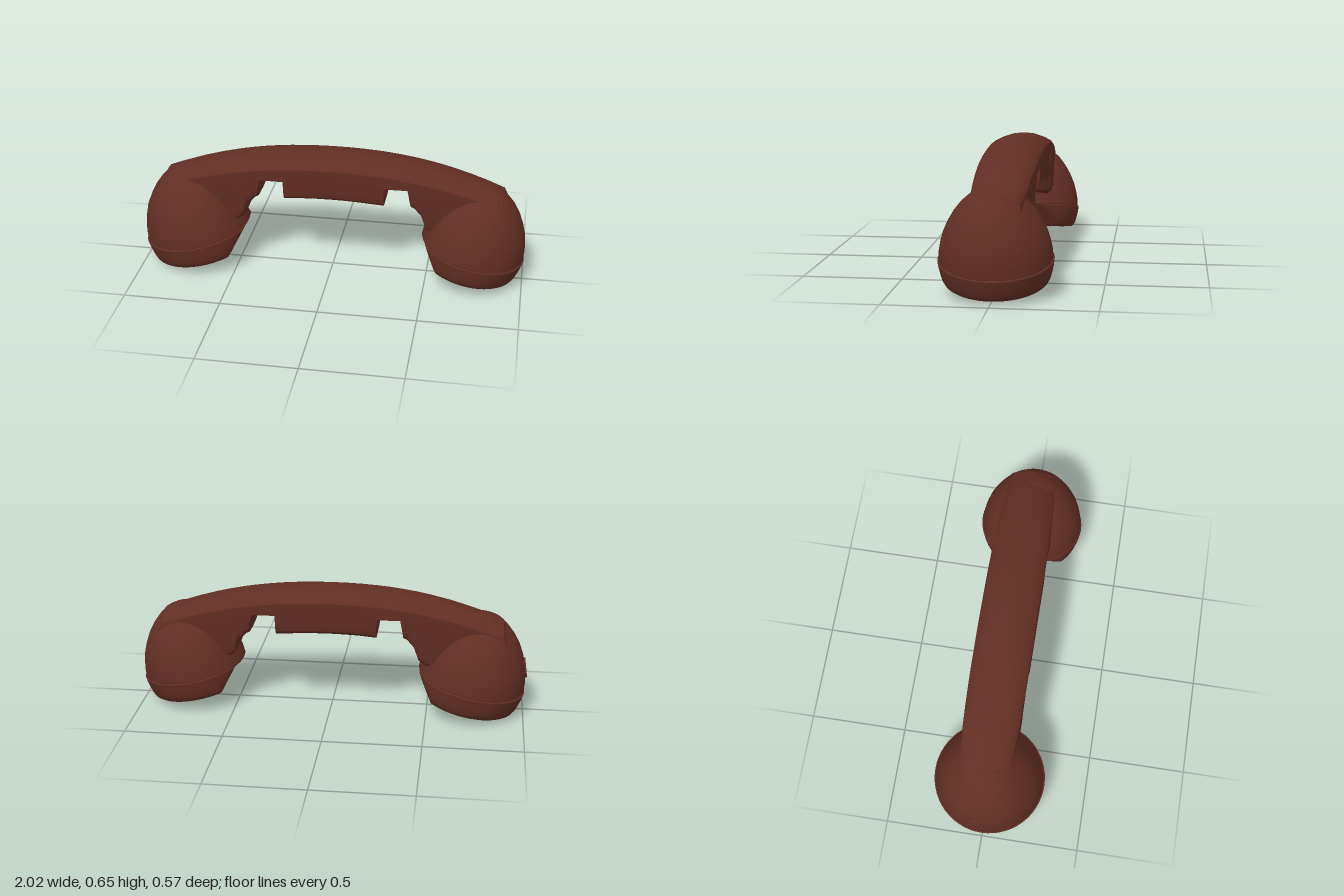
import * as THREE from 'three';
import { toCreasedNormals } from 'three/addons/utils/BufferGeometryUtils.js';

const brown = new THREE.MeshStandardMaterial({ color: 0x622e24 });
brown.name = 'dark brown';

function part(geometry, name, crease = 0.55) {
  const mesh = new THREE.Mesh(toCreasedNormals(geometry, crease), brown);
  mesh.name = name;
  return mesh;
}

// Arched crown of the grip, dropping steeply past the ends
function topAt(x) {
  const a = Math.abs(x);
  if (a > 0.88) return 0.5 - (a - 0.88) * 2.2;
  return 0.66 - 0.16 * Math.pow(a / 0.88, 2.2);
}

function halfWidthAt(x) {
  return 0.145 - 0.025 * Math.pow(Math.min(Math.abs(x) / 0.88, 1), 3);
}

// One cross-section: domed top, straight sides, rounded underside, cut off at the notch height
function section([x, bottom, notch = 0]) {
  const t = topAt(x), w = halfWidthAt(x);
  const half = [
    [0, t], [0.35, t - 0.005], [0.7, t - 0.022], [0.92, t - 0.038], [1, t - 0.055],
    [1, bottom + 0.06], [0.93, bottom + 0.025], [0.76, bottom + 0.006], [0, bottom],
  ];
  const back = half.slice(1, -1).reverse().map(([z, y]) => [-z, y]);
  return [...half, ...back].map(([z, y]) => [x, Math.max(y, notch), z * w - 0.015]);
}

function loft(sections) {
  const n = sections[0].length, index = [];
  for (let i = 0; i < sections.length - 1; i++) {
    for (let j = 0; j < n; j++) {
      const k = (j + 1) % n;
      const a = i * n + j, b = i * n + k, c = b + n, d = a + n;
      index.push(a, b, c, a, c, d);
    }
  }
  const g = new THREE.BufferGeometry();
  g.setAttribute('position', new THREE.Float32BufferAttribute(sections.flat(2), 3));
  g.setIndex(index);
  return g;
}

// Grip with two square notches in its underside: [x, bottom, notch height]
function makeGrip() {
  const end = [
    [-0.97, 0.18], [-0.88, 0.25], [-0.8, 0.25], [-0.7, 0.25], [-0.6, 0.25], [-0.5, 0.27],
    [-0.455, 0.3], [-0.43, 0.37], [-0.395, 0.41], [-0.375, 0.42],
    [-0.36, 0.42, 0.53], [-0.3, 0.42, 0.53], [-0.24, 0.42, 0.53], [-0.238, 0.415],
  ];
  const middle = [-0.15, -0.07, 0, 0.07, 0.15, 0.22].map(x => [x, 0.427 - 0.18 * x * x]);
  // The far end mirrors the near one, its notch set slightly further out
  const farEnd = end.map(([x, ...rest]) => [-x + (x > -0.55 ? 0.04 : 0), ...rest]).reverse();
  return part(loft([...end, ...middle, ...farEnd].map(section)), 'grip');
}

const lathe = profile =>
  new THREE.LatheGeometry(profile.map(([r, y]) => new THREE.Vector2(r, y)), 56);

// Ear or mouth cup: domed shell and a screw cap cut away on its inner side
function makeCup(name, side, x, y, scale, cut) {
  const cup = new THREE.Group();
  cup.name = name;

  const domeProfile = [
    [0, -0.012], [0.27, -0.012], [0.279, 0], [0.276, 0.04], [0.267, 0.085], [0.254, 0.13],
    [0.232, 0.18], [0.203, 0.23], [0.168, 0.275], [0.125, 0.315], [0.08, 0.347], [0.035, 0.362], [0, 0.366],
  ];
  cup.add(part(lathe(domeProfile), 'domedShell'));

  const capProfile = [
    [0, -0.127], [0.1, -0.127], [0.2, -0.126], [0.247, -0.123], [0.257, -0.115], [0.267, -0.095],
    [0.275, -0.065], [0.281, -0.035], [0.285, -0.008], [0.282, -0.003], [0.26, -0.002], [0, -0.002],
  ];
  const cap = lathe(capProfile);
  const p = cap.attributes.position;
  for (let i = 0; i < p.count; i++) {
    const limit = cut + 0.8 * (p.getY(i) + 0.125);
    const inward = -side * p.getX(i);
    if (inward > limit) p.setX(i, -side * limit);
  }
  cup.add(part(cap, 'screwCap'));

  cup.scale.setScalar(scale);
  cup.position.set(x, y, 0);
  cup.rotation.z = -side * 0.2;
  return cup;
}

export function createModel() {
  const model = new THREE.Group();
  model.name = 'handset';
  model.add(makeGrip());

  const rightCup = makeCup('rightCup', -1, -0.727, 0.175, 1, 0.175);
  const leftCup = makeCup('leftCup', 1, 0.735, 0.185, 0.965, 0.155);
  model.add(rightCup, leftCup);

  // Small oval plug on the outer end of the right cup
  const plug = part(new THREE.CylinderGeometry(0.04, 0.043, 0.008, 28), 'cordPlug');
  plug.scale.set(1.3, 1, 1);
  plug.position.set(-0.254, 0.13, -0.025);
  plug.rotation.z = Math.PI / 2 - 0.34;
  rightCup.add(plug);

  return model;
}
